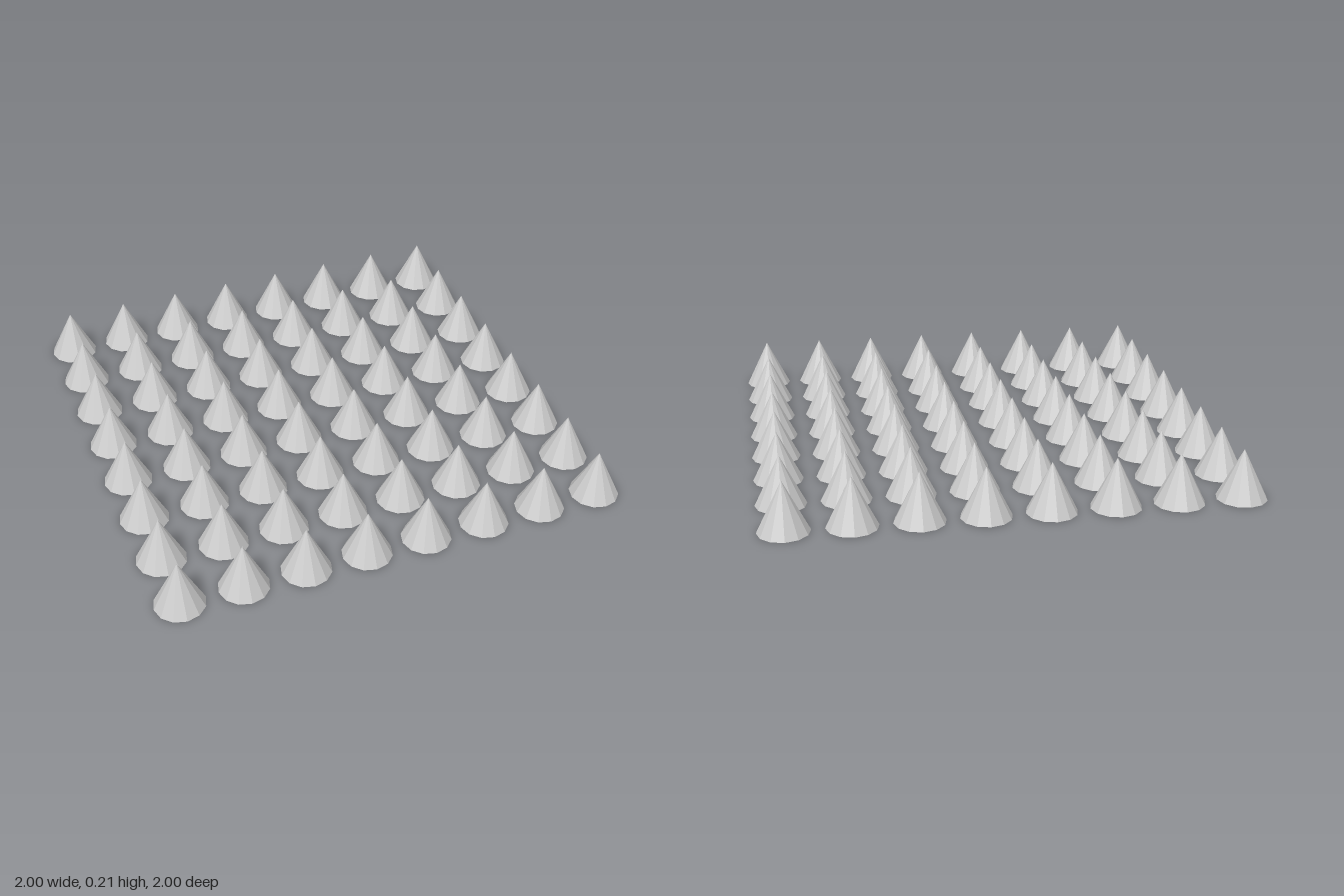
import * as THREE from 'three';

const COUNT = 8;        // cones per side
const PITCH = 2 / 7.8;  // distance between cone axes
const RADIUS = 0.4 * PITCH;
const HEIGHT = 0.8 * PITCH;

export function createModel() {
  const model = new THREE.Group();
  model.name = 'coneGrid';

  const material = new THREE.MeshStandardMaterial({ color: 0xcccccc, flatShading: true });

  // One low-poly cone with a closed base, standing on y = 0
  const geometry = new THREE.ConeGeometry(RADIUS, HEIGHT, 12);
  geometry.translate(0, HEIGHT / 2, 0);

  // Square field of separate cones, row by row from back to front
  const offset = (COUNT - 1) / 2;
  for (let row = 0; row < COUNT; row++) {
    const coneRow = new THREE.Group();
    coneRow.name = `coneRow${row + 1}`;
    coneRow.position.z = (row - offset) * PITCH;
    for (let column = 0; column < COUNT; column++) {
      const cone = new THREE.Mesh(geometry, material);
      cone.name = `cone${column + 1}`;
      cone.position.x = (column - offset) * PITCH;
      coneRow.add(cone);
    }
    model.add(coneRow);
  }
  return model;
}
